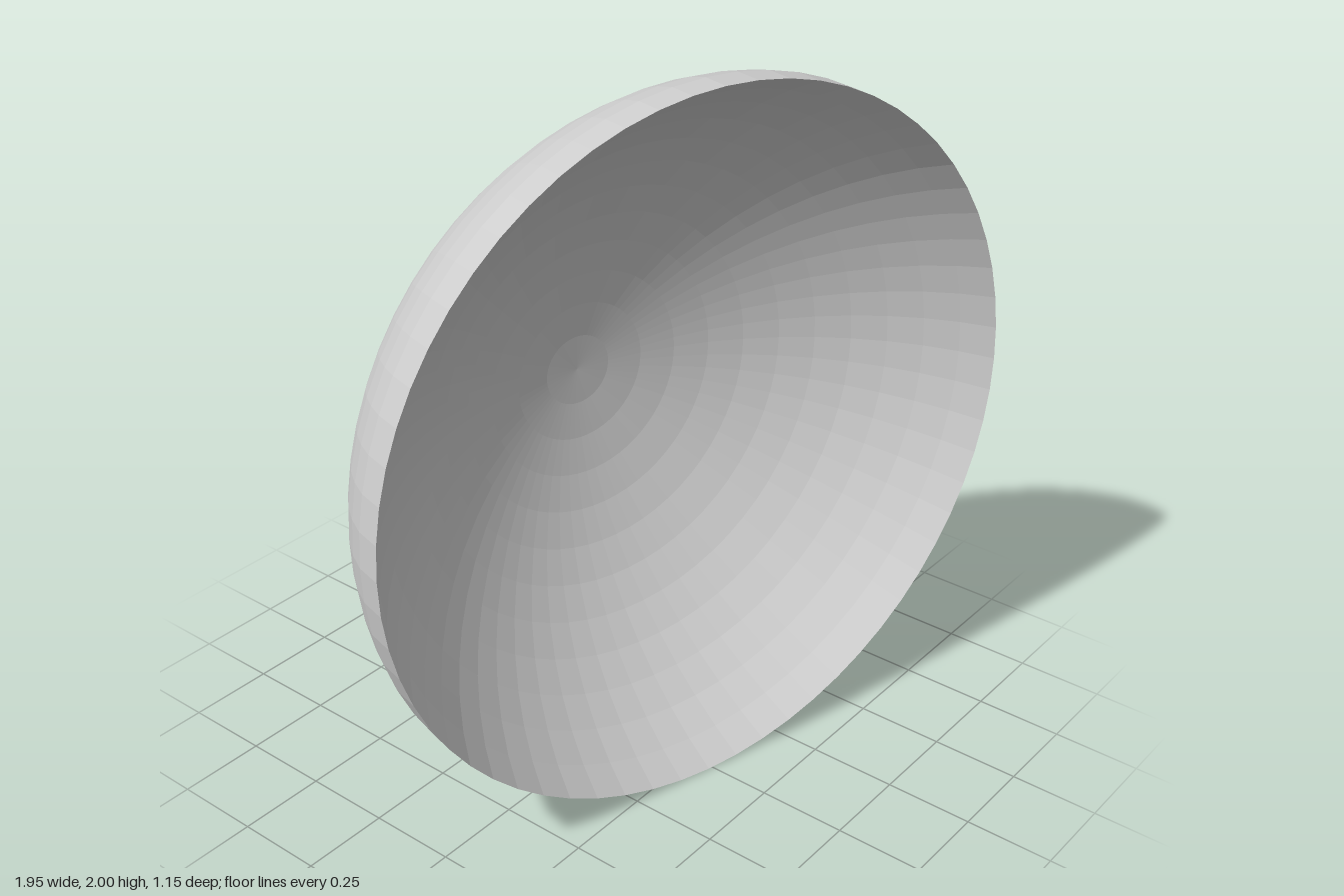
import * as THREE from 'three';

// Elliptical cap profile from the centre out to the rim (radius 1).
// a: radial half axis, b: axial half axis, y0: height of the ellipse centre
function capProfile(a, b, y0, rings) {
  const rimAngle = Math.asin(1 / a);
  const points = [];
  for (let i = 0; i <= rings; i++) {
    const t = (rimAngle * i) / rings;
    points.push(new THREE.Vector2(a * Math.sin(t), y0 - b * Math.cos(t)));
  }
  return points;
}

export function createModel() {
  const grey = new THREE.MeshStandardMaterial({ color: 0xcccccc, flatShading: true });
  grey.name = 'light grey';

  // Bowl: full outer dome, straight rim band, then the shallower hollow inside
  const outer = capProfile(1.007, 0.68, 0, 16);
  const inner = capProfile(1.104, 1.104, 0.467, 12);
  const profile = [...outer, ...inner.reverse()];
  const bowl = new THREE.Mesh(new THREE.LatheGeometry(profile, 64).rotateX(Math.PI / 2), grey);
  bowl.name = 'bowl';

  // Round mount behind the bowl, its front end buried in the shell
  const front = -0.638, back = -0.835;
  const mount = new THREE.Mesh(
    new THREE.CylinderGeometry(0.347, 0.347, front - back, 32).rotateX(Math.PI / 2), grey);
  mount.position.z = (front + back) / 2;
  mount.name = 'rearMount';

  // Whole dish turned slightly to one side
  const dish = new THREE.Group();
  dish.name = 'dish';
  dish.add(bowl, mount);
  dish.rotation.y = -Math.PI / 12;
  dish.position.set(-0.012, 1, 0.318);

  const model = new THREE.Group();
  model.name = 'reflectorDish';
  model.add(dish);
  return model;
}
